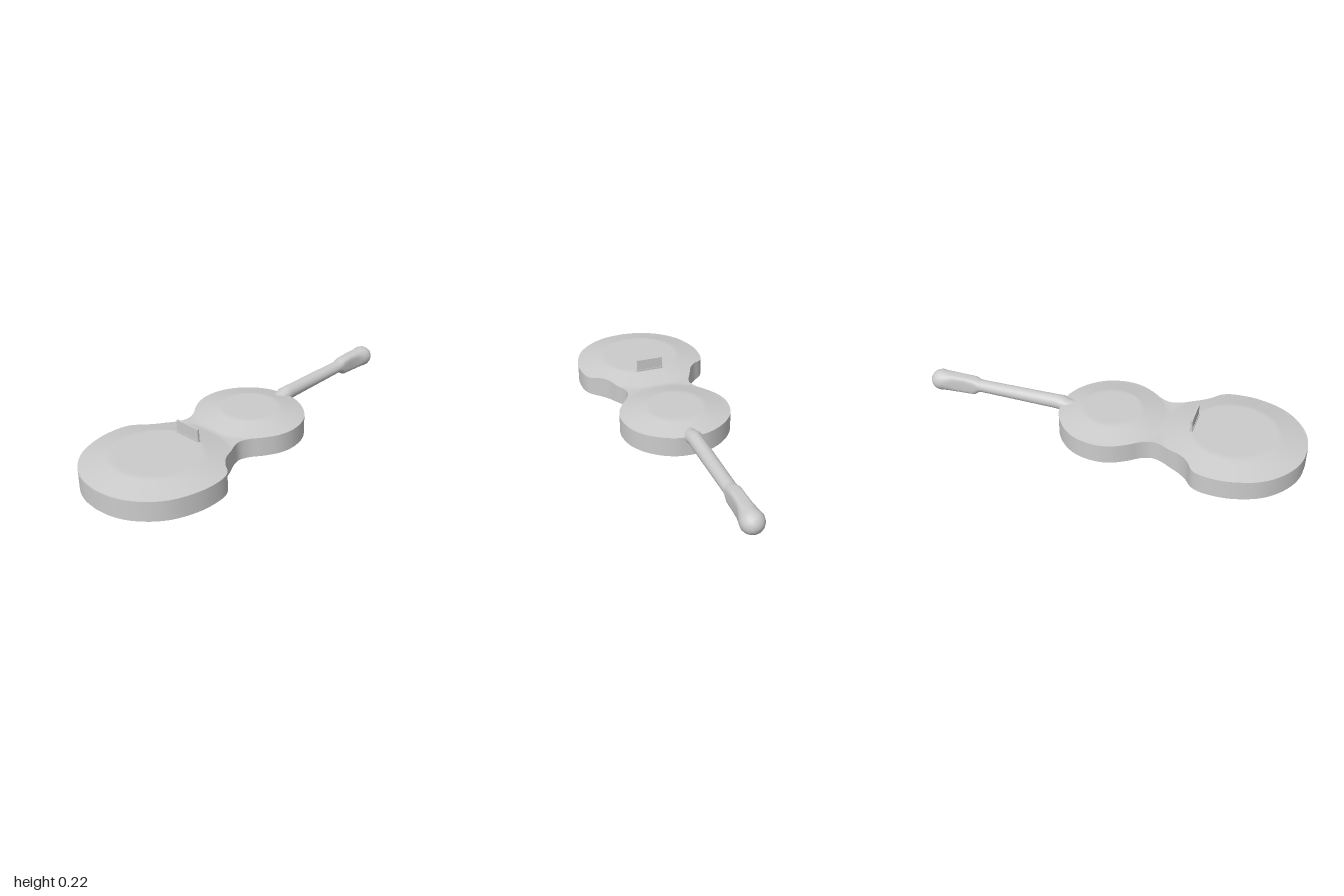
import * as THREE from 'three';
import { mergeVertices } from 'three/addons/utils/BufferGeometryUtils.js';

const material = new THREE.MeshStandardMaterial({ color: 0xcccccc });

// Smooth surface through rows of [x, y, z] points
function skin(rows) {
  const n = rows[0].length, index = [];
  for (let i = 0; i < rows.length - 1; i++) {
    for (let j = 0; j < n - 1; j++) {
      const a = i * n + j, b = a + n;
      index.push(a, b, a + 1, b, b + 1, a + 1);
    }
  }
  let geometry = new THREE.BufferGeometry();
  geometry.setAttribute('position', new THREE.Float32BufferAttribute(rows.flat(2), 3));
  geometry.setIndex(index);
  geometry = mergeVertices(geometry, 1e-5);
  geometry.computeVertexNormals();
  return geometry;
}

// Half outline of the body as [half width, z], from the neck end to the tail
const outline = [
  [0, -0.25], [0.08, -0.24], [0.155, -0.205], [0.22, -0.15], [0.265, -0.08], [0.285, 0.02],
  [0.272, 0.1], [0.235, 0.17], [0.192, 0.23], [0.175, 0.28], [0.183, 0.32], [0.212, 0.38],
  [0.235, 0.43], [0.272, 0.475], [0.32, 0.51], [0.341, 0.55], [0.35, 0.63], [0.342, 0.71],
  [0.305, 0.82], [0.25, 0.895], [0.17, 0.957], [0.09, 0.989], [0, 1],
];

// Raised flat discs: centre z, outer radius, flat radius
const discs = [[0.02, 0.28, 0.15], [0.645, 0.35, 0.215]];

function bulge(x, z) {
  let best = 0;
  for (const [cz, outer, flat] of discs) {
    const t = (outer - Math.hypot(x, z - cz)) / (outer - flat);
    best = Math.max(best, Math.min(1, t));
  }
  return 0.03 * best;
}
const topY = (x, z) => 0.13 + bulge(x, z);
const bottomY = (x, z) => 0.03 - bulge(x, z);

// Neck sections: z, half width, half height, centre y, squareness exponent
const neckSections = [
  [-0.17, 0.02, 0.02, 0.125, 1],
  [-0.215, 0.036, 0.024, 0.126, 1],
  [-0.25, 0.042, 0.037, 0.127, 1],
  [-0.28, 0.037, 0.037, 0.128, 1],
  [-0.5, 0.036, 0.034, 0.13, 1],
  [-0.7, 0.035, 0.032, 0.132, 1],
  [-0.72, 0.035, 0.034, 0.131, 0.9],
  [-0.745, 0.036, 0.046, 0.127, 0.6],
  [-0.8, 0.034, 0.048, 0.127, 0.5],
  [-0.86, 0.037, 0.049, 0.126, 0.55],
  [-0.89, 0.044, 0.051, 0.126, 0.75],
  [-0.92, 0.053, 0.054, 0.125, 1],
  [-0.945, 0.057, 0.056, 0.125, 1],
  [-0.965, 0.052, 0.051, 0.125, 1],
  [-0.982, 0.041, 0.04, 0.125, 1],
  [-0.994, 0.024, 0.023, 0.125, 1],
  [-1, 0, 0, 0.125, 1],
];

export function createModel() {
  const group = new THREE.Group();
  const add = (name, geometry) => {
    const mesh = new THREE.Mesh(geometry, material);
    mesh.name = name;
    group.add(mesh);
    return mesh;
  };

  const edge = new THREE.CatmullRomCurve3(
    outline.map(([w, z]) => new THREE.Vector3(w, 0, z)), false, 'centripetal').getSpacedPoints(100);

  // Top and bottom plates, spanned across the outline row by row
  const columns = 40;
  const plate = (side, height) => skin(edge.map((p) => {
    const row = [];
    for (let j = 0; j <= columns; j++) {
      const x = side * p.x * (2 * j / columns - 1);
      row.push([x, height(x, p.z), p.z]);
    }
    return row;
  }));
  add('bodyTop', plate(1, topY));
  add('bodyBottom', plate(-1, bottomY));

  // Side wall around the whole outline
  const loop = [
    ...edge.slice().reverse(),
    ...edge.slice(1).map((p) => new THREE.Vector3(-p.x, 0, p.z)),
  ];
  add('bodySide', skin(loop.map(({ x, z }) => [[x, bottomY(x, z), z], [x, topY(x, z), z]])));

  // Neck, squared head and rounded knob in one loft
  const sides = 32;
  const round = (v, e) => Math.sign(v) * Math.pow(Math.abs(v), e);
  add('neck', skin(neckSections.map(([z, rx, ry, cy, e]) => {
    const ring = [];
    for (let j = 0; j <= sides; j++) {
      const a = (j % sides) / sides * Math.PI * 2;
      ring.push([rx * round(Math.cos(a), e), cy + ry * round(Math.sin(a), e), z]);
    }
    return ring;
  })));

  // Bridge: thin upright plate on a low foot
  add('bridge', new THREE.BoxGeometry(0.142, 0.073, 0.01)).position.set(0, 0.188, 0.445);
  add('bridgeFoot', new THREE.BoxGeometry(0.146, 0.02, 0.016)).position.set(0, 0.158, 0.445);

  return group;
}
